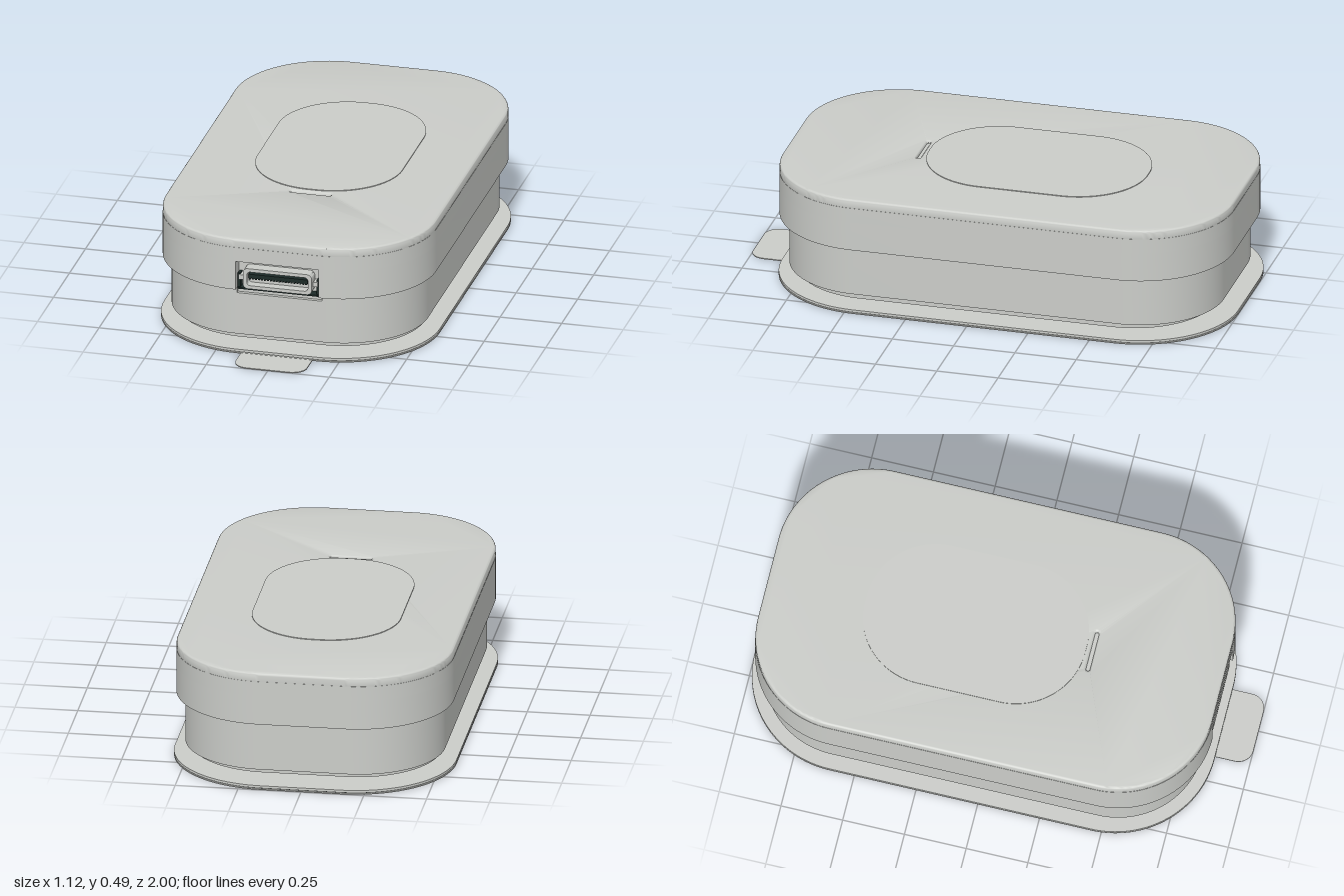
import * as THREE from 'three';
import { toCreasedNormals } from 'three/addons/utils/BufferGeometryUtils.js';

const shell = new THREE.MeshStandardMaterial({ name: 'light grey shell', color: 0xcbcdc9 });
const dark = new THREE.MeshStandardMaterial({ name: 'dark green board', color: 0x1d2b28 });

// Rounded rectangle from (-w, a) to (w, b); an optional notch cuts into the b side
function outline(w, a, b, r, notch, Type = THREE.Shape) {
  const s = new Type();
  s.absarc(w - r, a + r, r, -Math.PI / 2, 0);
  s.absarc(w - r, b - r, r, 0, Math.PI / 2);
  if (notch) {
    const [n, d] = notch;
    s.lineTo(n, b);
    s.lineTo(n, b - d);
    s.lineTo(-n, b - d);
    s.lineTo(-n, b);
  }
  s.absarc(-w + r, b - r, r, Math.PI / 2, Math.PI);
  s.absarc(-w + r, a + r, r, Math.PI, Math.PI * 1.5);
  s.closePath();
  return s;
}

function extrude(shape, depth, bevel = 0) {
  return new THREE.ExtrudeGeometry(shape, {
    depth: depth - 2 * bevel, curveSegments: 20,
    bevelEnabled: bevel > 0, bevelSize: bevel, bevelThickness: bevel,
    bevelOffset: -bevel, bevelSegments: 4,
  }).translate(0, 0, bevel);
}

export function createModel() {
  const model = new THREE.Group();
  model.name = 'roundedDevice';

  const add = (name, geometry, material = shell, x = 0, y = 0, z = 0) => {
    const mesh = new THREE.Mesh(geometry, material);
    mesh.name = name;
    mesh.position.set(x, y, z);
    model.add(mesh);
    return mesh;
  };
  // Horizontal slab: shape y becomes z, thickness runs from y0 to y1
  const slab = (name, shape, y0, y1, material = shell, bevel = 0) => {
    const g = extrude(shape, y1 - y0, bevel).rotateX(Math.PI / 2).translate(0, y1, 0);
    return add(name, toCreasedNormals(g, 0.6), material);
  };
  const box = (name, w, h, d, x, y, z, material) =>
    add(name, new THREE.BoxGeometry(w, h, d), material, x, y, z);

  // Base liner with pull tab, and adhesive pad
  slab('baseLiner', outline(0.56, -1, 0.86, 0.4), 0.0005, 0.005);
  slab('pullTab', outline(0.145, 0.8, 1, 0.06), 0, 0.004);
  slab('linerGap', outline(0.553, -0.993, 0.853, 0.394), 0.005, 0.008, dark);
  slab('adhesivePad', outline(0.56, -1, 0.86, 0.4), 0.008, 0.018);

  // Feet and sensors between pad and lower case
  for (const side of [-1, 1]) {
    add('frontFoot', new THREE.CylinderGeometry(0.11, 0.11, 0.024, 40), shell, side * 0.257, 0.029, 0.49);
    add('rearFoot', new THREE.CylinderGeometry(0.145, 0.145, 0.024, 40), shell, side * 0.22, 0.029, -0.545);
  }
  slab('middleFoot', outline(0.165, -0.08, 0.17, 0.12), 0.017, 0.041);
  add('smallFoot', new THREE.CylinderGeometry(0.045, 0.045, 0.024, 32), shell, 0, 0.029, 0.285);
  box('contactBlock', 0.2, 0.024, 0.09, 0, 0.029, -0.125, dark);

  // Lower case, notched under the port
  slab('lowerLip', outline(0.495, -0.91, 0.785, 0.33), 0.04, 0.066);
  slab('lowerCase', outline(0.515, -0.945, 0.815, 0.34), 0.065, 0.24);
  slab('lowerCaseRim', outline(0.515, -0.945, 0.815, 0.34, [0.172, 0.015]), 0.24, 0.256);

  // Dark board showing in the seam
  slab('seamBoard', outline(0.505, -0.935, 0.8, 0.34), 0.255, 0.272, dark);

  // Upper case, with the port recess open to the seam
  slab('upperCase', outline(0.55, -0.985, 0.855, 0.38, [0.168, 0.055]), 0.27, 0.39);
  slab('upperCaseRim', outline(0.55, -0.985, 0.855, 0.38), 0.39, 0.45);

  // Lid with a rounded edge and a light slot, and the raised top pad
  const lid = outline(0.549, -0.984, 0.854, 0.379);
  lid.holes.push(outline(0.083, 0.32, 0.336, 0.0079, null, THREE.Path));
  slab('lid', lid, 0.425, 0.485, shell, 0.011);
  slab('lightBar', outline(0.09, 0.314, 0.342, 0.0139), 0.44, 0.472);
  slab('topPad', outline(0.295, -0.59, 0.302, 0.28), 0.48, 0.488);

  // Port housing facing the front
  const frame = outline(0.14, 0.276, 0.362, 0.02);
  frame.holes.push(outline(0.124, 0.29, 0.348, 0.014, null, THREE.Path));
  add('portFrame', toCreasedNormals(extrude(frame, 0.05), 0.6), shell, 0, 0, 0.799);
  box('portBack', 0.27, 0.075, 0.01, 0, 0.319, 0.806);
  box('portTongue', 0.24, 0.016, 0.03, 0, 0.327, 0.825, dark);
  for (let i = 0; i < 20; i++) {
    box('contactPin', 0.007, 0.007, 0.028, -0.114 + i * 0.012, 0.316, 0.824, dark);
  }
  box('portBoard', 0.33, 0.006, 0.04, 0, 0.271, 0.82, dark);
  for (const side of [-1, 1]) {
    box('portBracket', 0.012, 0.06, 0.03, side * 0.16, 0.302, 0.815, dark);
    box('bracketCap', 0.018, 0.02, 0.036, side * 0.152, 0.318, 0.82);
  }

  return model;
}
